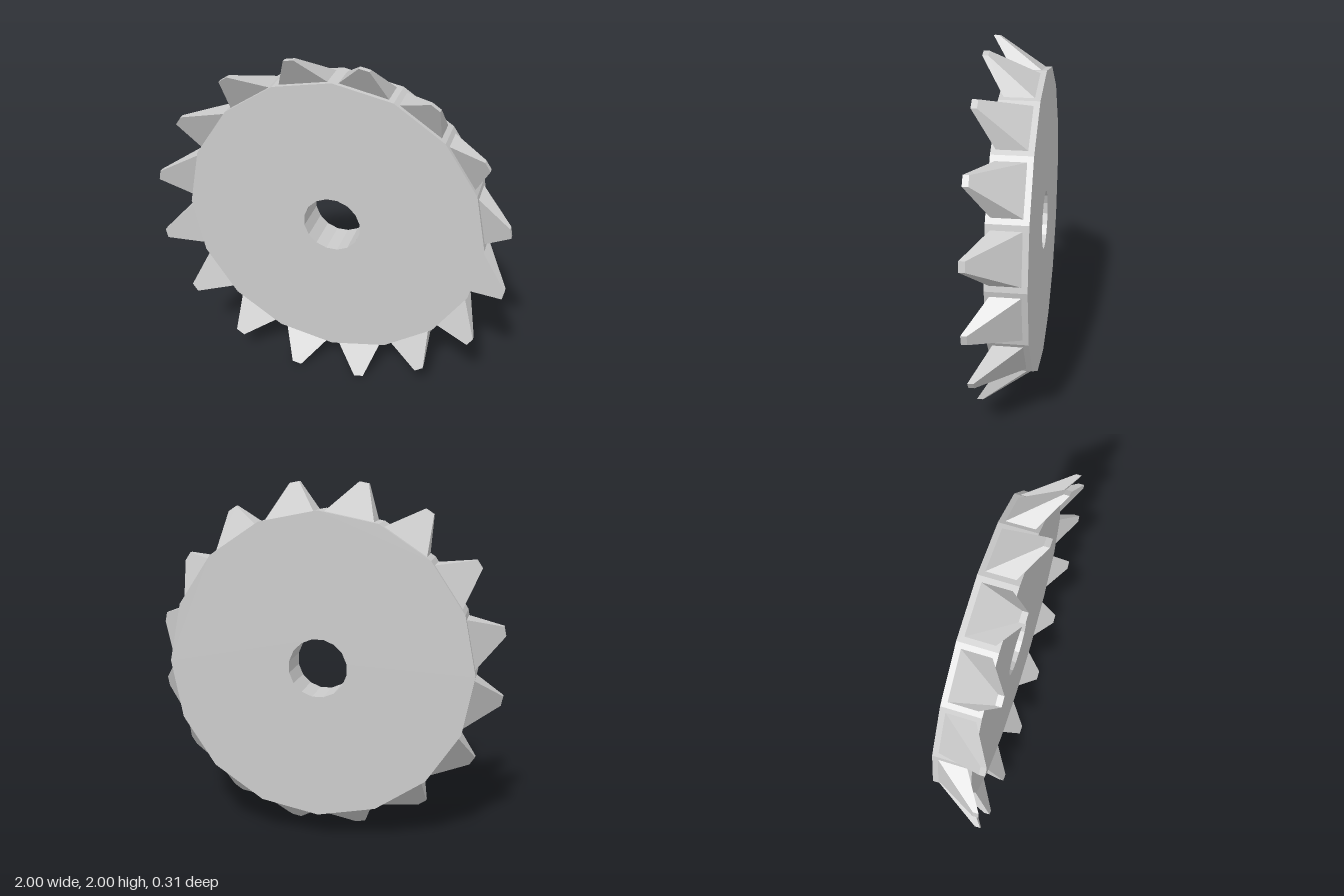
import * as THREE from 'three';

const SIDES = 16;
const RIM = 0.86;                                   // corner radius of the disc
const FLAT = RIM * Math.cos(Math.PI / SIDES);       // distance to the middle of a rim facet

function polygon(radius, offset) {
  return Array.from({ length: SIDES }, (_, i) => {
    const a = (i + offset) * 2 * Math.PI / SIDES;
    return new THREE.Vector2(radius * Math.cos(a), radius * Math.sin(a));
  });
}

// Tapered spike: wide base on the rim facet, small tip leaning towards the front
function toothGeometry() {
  const base = { y: FLAT, halfWidth: 0.137, back: -0.122, front: 0.035 };
  const tip = { y: 1.0143, halfWidth: 0.028, back: 0.122, front: 0.153 };
  const geometry = new THREE.BoxGeometry(1, 1, 1).toNonIndexed();
  const p = geometry.attributes.position;
  for (let i = 0; i < p.count; i++) {
    const end = p.getY(i) > 0 ? tip : base;
    p.setXYZ(i, Math.sign(p.getX(i)) * end.halfWidth, end.y, p.getZ(i) > 0 ? end.front : end.back);
  }
  geometry.computeVertexNormals();
  return geometry;
}

export function createModel() {
  const model = new THREE.Group();
  model.name = 'sprocket';
  const material = new THREE.MeshStandardMaterial({ color: 0xcccccc, flatShading: true });

  // Sixteen-sided disc with a bored centre
  const outline = new THREE.Shape(polygon(RIM, 0));
  outline.holes.push(new THREE.Path(polygon(0.165, 0.5)));
  const discGeometry = new THREE.ExtrudeGeometry(outline, { depth: 0.213, bevelEnabled: false });
  discGeometry.translate(0, 0, -0.153);
  const disc = new THREE.Mesh(discGeometry, material);
  disc.name = 'disc';
  disc.position.y = 1;
  model.add(disc);

  // One tooth on each rim facet
  const teeth = new THREE.Group();
  teeth.name = 'teeth';
  teeth.position.y = 1;
  const geometry = toothGeometry();
  for (let i = 0; i < SIDES; i++) {
    const tooth = new THREE.Mesh(geometry, material);
    tooth.name = 'tooth';
    tooth.rotation.z = (i + 0.5) * 2 * Math.PI / SIDES;
    teeth.add(tooth);
  }
  model.add(teeth);
  return model;
}
